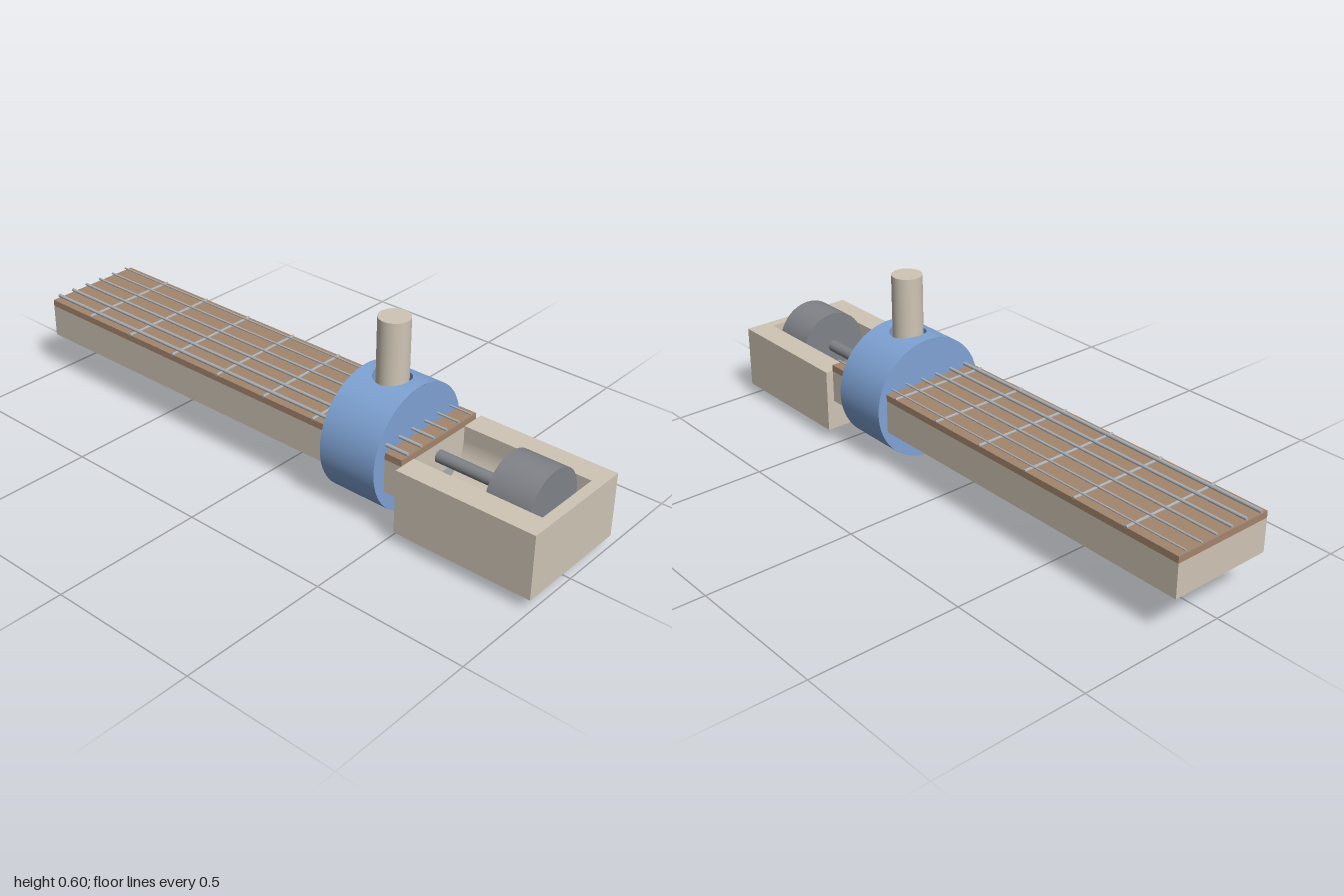
import * as THREE from 'three';

const mat = (name, color, side = THREE.FrontSide) => {
  const m = new THREE.MeshStandardMaterial({ color, side });
  m.name = name;
  return m;
};

export function createModel() {
  const group = new THREE.Group();
  const cream = mat('cream', 0xcfc5b5);
  const wood = mat('wood', 0xa4866e);
  const blue = mat('blue', 0x7fa3d4, THREE.DoubleSide);
  const grey = mat('motor grey', 0x808388);
  const steel = mat('steel', 0xaab0b6);

  const add = (name, geo, material, x = 0, y = 0, z = 0) => {
    const m = new THREE.Mesh(geo, material);
    m.name = name;
    m.position.set(x, y, z);
    group.add(m);
    return m;
  };
  // Box given by half width and y, z ranges
  const box = (name, hw, y0, y1, z0, z1, material) =>
    add(name, new THREE.BoxGeometry(hw * 2, y1 - y0, z1 - z0), material, 0, (y0 + y1) / 2, (z0 + z1) / 2);
  // Rod along z
  const rodZ = (name, r, x, y, z0, z1, material, seg) =>
    add(name, new THREE.CylinderGeometry(r, r, z1 - z0, seg).rotateX(Math.PI / 2), material, x, y, (z0 + z1) / 2);

  // Neck in two lengths, each topped by a fingerboard
  for (const [name, z0, z1] of [['neck', -1, 0.235], ['neckEnd', 0.467, 0.528]]) {
    box(name, 0.177, 0.14, 0.25, z0, z1, cream);
    box(name + 'Fingerboard', 0.177, 0.25, 0.272, z0, z1, wood);
  }

  // Frets
  for (let i = 0; i < 6; i++) {
    add('fret', new THREE.CylinderGeometry(0.005, 0.005, 0.354, 10).rotateZ(Math.PI / 2), steel, 0, 0.272, -0.81 + i * 0.2);
  }
  // Strings, thick to thin
  for (let i = 0; i < 6; i++) {
    rodZ('string', 0.0058 - i * 0.0006, -0.15 + i * 0.06, 0.28, -1, 0.53, steel, 10);
  }

  // Wheel: discs, open rim, and a rim patch pierced by the post hole
  const R = 0.204, H = 0.1025, WZ = 0.347, HOLE = 0.06;
  const arc = Math.asin(H / R);
  const wheel = new THREE.Group();
  wheel.name = 'wheel';
  wheel.position.set(0, R, WZ);
  group.add(wheel);
  const wheelPart = (name, geo) => {
    const m = new THREE.Mesh(geo, blue);
    m.name = name;
    wheel.add(m);
  };
  wheelPart('wheelFront', new THREE.CircleGeometry(R, 96).translate(0, 0, H));
  wheelPart('wheelBack', new THREE.CircleGeometry(R, 96).rotateY(Math.PI).translate(0, 0, -H));
  const rim = new THREE.CylinderGeometry(R, R, 2 * H, 80, 1, true, Math.PI + arc, 2 * Math.PI - 2 * arc);
  wheelPart('wheelRim', rim.rotateX(Math.PI / 2));

  const N = 64, M = 6, pos = [], nor = [], idx = [];
  const wallPos = [], wallIdx = [];
  for (let i = 0; i <= N; i++) {
    const a = (i / N) * Math.PI * 2, c = Math.cos(a), s = Math.sin(a);
    const edge = H / Math.max(Math.abs(c), Math.abs(s));
    for (let j = 0; j <= M; j++) {
      const r = HOLE + (edge - HOLE) * j / M;
      const x = r * c, z = r * s, y = Math.sqrt(R * R - x * x);
      pos.push(x, y, z);
      nor.push(x / R, y / R, 0);
      if (i < N && j < M) {
        const k = i * (M + 1) + j, n = k + M + 1;
        idx.push(k, n, k + 1, n, n + 1, k + 1);
      }
    }
    // Hole wall down to the seat
    const x = HOLE * c, z = HOLE * s;
    wallPos.push(x, Math.sqrt(R * R - x * x), z, x, 0.06, z);
    if (i < N) {
      const k = i * 2;
      wallIdx.push(k, k + 2, k + 1, k + 2, k + 3, k + 1);
    }
  }
  const patch = new THREE.BufferGeometry();
  patch.setAttribute('position', new THREE.Float32BufferAttribute(pos, 3));
  patch.setAttribute('normal', new THREE.Float32BufferAttribute(nor, 3));
  patch.setIndex(idx);
  wheelPart('wheelRimTop', patch);
  const wall = new THREE.BufferGeometry();
  wall.setAttribute('position', new THREE.Float32BufferAttribute(wallPos, 3));
  // Reversed so the wall faces the post
  wall.setIndex(wallIdx.reverse());
  wall.computeVertexNormals();
  wheelPart('postHole', wall);
  wheelPart('postSeat', new THREE.CircleGeometry(HOLE, 48).rotateX(-Math.PI / 2).translate(0, 0.06, 0));

  // Post standing in the wheel
  add('post', new THREE.CylinderGeometry(0.05, 0.05, 0.336, 48), cream, 0, 0.432, WZ);

  // Motor housing: a round-bottomed trough with an end wall
  const u = new THREE.Shape();
  u.moveTo(-0.203, 0.04);
  u.lineTo(0.203, 0.04);
  u.lineTo(0.203, 0.252);
  u.lineTo(0.121, 0.252);
  u.lineTo(0.121, R);
  u.absarc(0, R, 0.121, 0, Math.PI, true);
  u.lineTo(-0.121, 0.252);
  u.lineTo(-0.203, 0.252);
  add('motorHousing', new THREE.ExtrudeGeometry(u, { depth: 0.437, bevelEnabled: false, curveSegments: 40 }), cream, 0, 0, 0.528);
  box('housingEndWall', 0.203, 0.04, 0.252, 0.965, 1, cream);

  // Motor and its drive shaft
  rodZ('motor', 0.12, 0, 0.205, 0.775, 0.922, grey, 64);
  rodZ('driveShaft', 0.02, 0, 0.205, 0.44, 0.78, grey, 32);

  return group;
}
